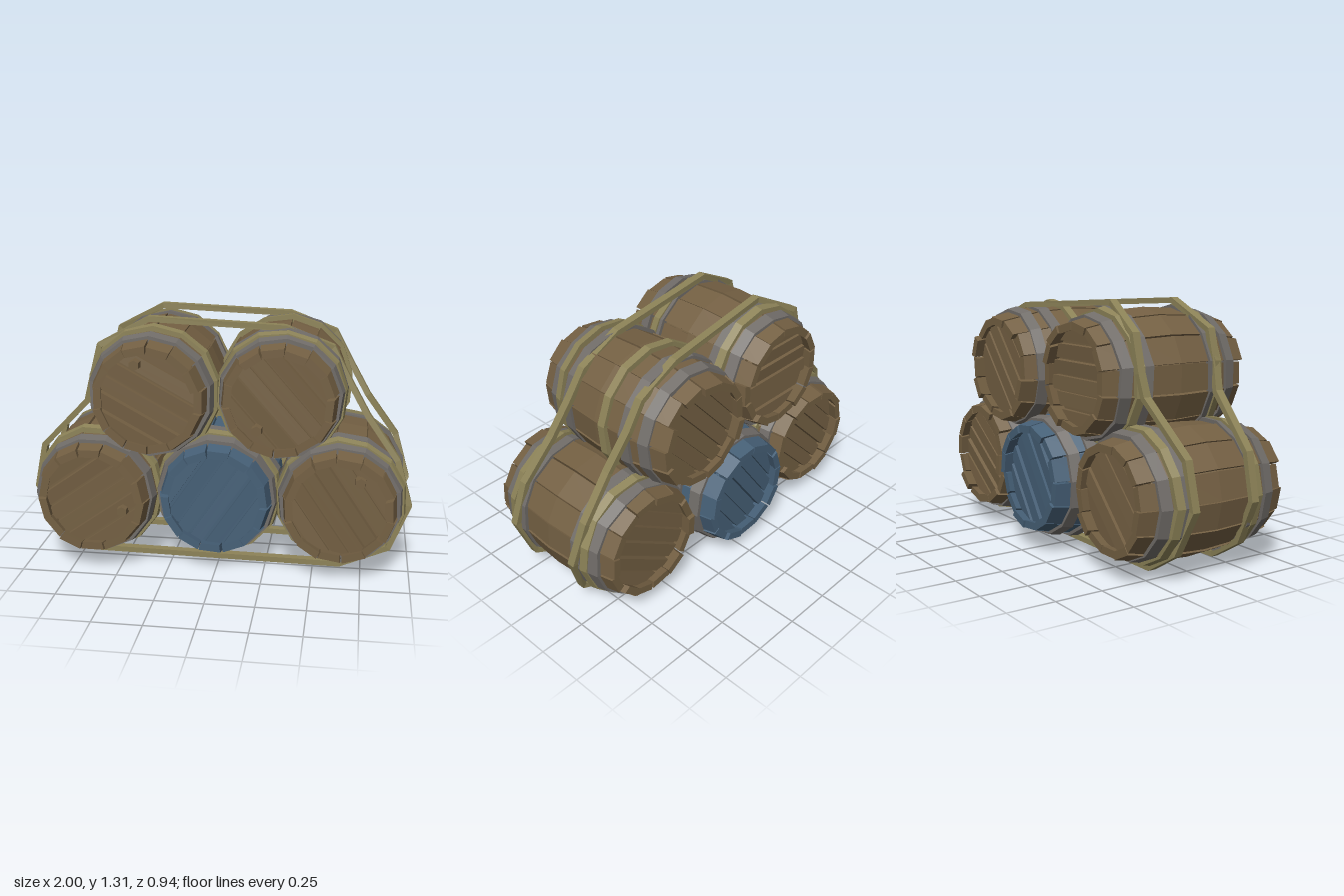
import * as THREE from 'three';
import { mergeGeometries } from 'three/addons/utils/BufferGeometryUtils.js';

const STAVES = 14;
const mat = (name, color) => {
  const m = new THREE.MeshStandardMaterial({ color });
  m.name = name;
  return m;
};

function seeded(seed) {
  let s = seed;
  return () => ((s = (s * 16807) % 2147483647) / 2147483647);
}

function flat(geometry) {
  const g = geometry.toNonIndexed();
  g.computeVertexNormals();
  return g;
}

// Flat-faced skin over equal cross-section loops (counter-clockwise seen against the path)
function loft(sections, closed) {
  const pos = [];
  const tri = (a, b, c) => pos.push(...a, ...b, ...c);
  const n = sections[0].length;
  const count = closed ? sections.length : sections.length - 1;
  for (let k = 0; k < count; k++) {
    const s = sections[k], t = sections[(k + 1) % sections.length];
    for (let i = 0; i < n; i++) {
      const j = (i + 1) % n;
      tri(s[i], s[j], t[j]);
      tri(s[i], t[j], t[i]);
    }
  }
  if (!closed) {
    const first = sections[0], last = sections[sections.length - 1];
    for (let i = 1; i < n - 1; i++) {
      tri(first[0], first[i + 1], first[i]);
      tri(last[0], last[i], last[i + 1]);
    }
  }
  const g = new THREE.BufferGeometry();
  g.setAttribute('position', new THREE.Float32BufferAttribute(pos, 3));
  g.computeVertexNormals();
  return g;
}

// Barrel radius along its axis
function radiusAt(z) {
  const a = Math.abs(z);
  return a < 0.22 ? 0.335 - (a / 0.22) * 0.013 : 0.322 - ((a - 0.22) / 0.21) * 0.045;
}

// Curved plank running the length of the barrel
function stave(a0, a1, rnd) {
  const lift = (rnd() - 0.5) * 0.012;
  const front = 0.425 + (rnd() - 0.5) * 0.03, back = 0.425 + (rnd() - 0.5) * 0.03;
  return loft([-back, -0.22, 0, 0.22, front].map((z) => {
    const r = radiusAt(z) + lift;
    const p = (rad, a) => [rad * Math.cos(a), rad * Math.sin(a), z];
    return [p(r - 0.04, a0), p(r, a0), p(r, a1), p(r - 0.04, a1)];
  }));
}

// Solid filling that follows the staves from inside
function core() {
  const points = [-0.35, -0.22, 0, 0.22, 0.35].map((z) => new THREE.Vector2(radiusAt(z) - 0.022, z));
  points.unshift(new THREE.Vector2(0, -0.35));
  points.push(new THREE.Vector2(0, 0.35));
  return flat(new THREE.LatheGeometry(points, STAVES)).rotateX(Math.PI / 2).rotateZ(Math.PI / 2);
}

// Faceted band around a barrel
function band(z, width, proud, rnd) {
  const sections = [];
  for (let i = 0; i < STAVES; i++) {
    const a = (i / STAVES) * Math.PI * 2;
    const dz = (rnd() - 0.5) * 0.012, dr = (rnd() - 0.5) * 0.006;
    const p = (zz, inset) => {
      const r = radiusAt(zz) + inset;
      return [r * Math.cos(a), r * Math.sin(a), zz + dz];
    };
    const z0 = z - width / 2, z1 = z + width / 2;
    sections.push([p(z0, -0.02), p(z1, -0.02), p(z1, proud + dr), p(z0, proud + dr)]);
  }
  return loft(sections, true);
}

// Round barrel head made of parallel boards
function head(angle, rnd) {
  const R = 0.25, boards = 6, parts = [];
  for (let i = 0; i < boards; i++) {
    const v0 = -R + (2 * R * i) / boards + 0.005 + rnd() * 0.004;
    const v1 = -R + (2 * R * (i + 1)) / boards - 0.005 - rnd() * 0.004;
    const right = [], left = [];
    for (let k = 0; k <= 3; k++) {
      const v = v0 + ((v1 - v0) * k) / 3, x = Math.sqrt(R * R - v * v);
      right.push(new THREE.Vector2(x, v));
      left.unshift(new THREE.Vector2(-x, v));
    }
    const g = new THREE.ExtrudeGeometry(new THREE.Shape([...right, ...left]),
      { depth: 0.035 + rnd() * 0.015, bevelEnabled: false });
    // Tilt each board about its own middle so the edges step
    const mid = (v0 + v1) / 2;
    g.translate(0, -mid, 0).rotateX((rnd() - 0.5) * 0.2).translate(0, mid, 0.335).rotateZ(angle);
    parts.push(g);
  }
  return mergeGeometries(parts);
}

// Strap wound round the whole stack, path counter-clockwise from the front
function strap(path) {
  const n = path.length;
  const edge = (i) => {
    const a = path[(i + n) % n], b = path[(i + 1 + n) % n];
    return new THREE.Vector2(b[1] - a[1], a[0] - b[0]).normalize();
  };
  return loft(path.map(([x, y, z], i) => {
    const m = edge(i - 1).add(edge(i)).normalize();
    const p = (dz, d) => [x - m.x * d, y - m.y * d, z + dz];
    return [p(-0.021, 0.03), p(0.021, 0.03), p(0.021, 0), p(-0.021, 0)];
  }), true);
}

export function createModel() {
  const model = new THREE.Group();
  model.name = 'barrelStack';
  const wood = mat('brown wood', 0x746043);
  const blue = mat('blue wood', 0x466077);
  const iron = mat('grey iron', 0x716d69);
  const rope = mat('olive rope', 0x8d8358);
  const add = (parent, name, geometry, material) => {
    const m = new THREE.Mesh(geometry, material);
    m.name = name;
    parent.add(m);
  };

  // Board angles are for the front and back heads, each seen from its own side
  const barrels = [
    { name: 'lowerRightBarrel', at: [-0.635, 0.39, 0.03], boards: [0.62, -0.8], bung: [0.16, -0.06], ropes: [0.225, -0.25] },
    { name: 'lowerMiddleBarrel', at: [-0.005, 0.385, -0.04], boards: [0.98, -0.95], ropes: [0.27, -0.03], paint: blue },
    { name: 'lowerLeftBarrel', at: [0.635, 0.39, 0.01], boards: [-0.98, -0.6], bung: [0.1, 0.15], ropes: [0.275, -0.265] },
    { name: 'upperRightBarrel', at: [-0.33, 0.93, 0.03], boards: [-0.5, 0], bung: [-0.06, 0.175], ropes: [0.225, -0.25] },
    { name: 'upperLeftBarrel', at: [0.32, 0.925, -0.03], boards: [-0.85, -0.85], bung: [-0.11, -0.15], ropes: [0.275, -0.07] },
  ];

  barrels.forEach((b, index) => {
    const rnd = seeded(911 + index * 577);
    const paint = b.paint || wood;
    const barrel = new THREE.Group();
    barrel.name = b.name;
    barrel.position.set(...b.at);
    model.add(barrel);

    const body = new THREE.Group();
    body.name = 'stavesAndHoops';
    body.rotation.z = index * 0.37;
    barrel.add(body);

    // Staves over a solid core
    const step = (Math.PI * 2) / STAVES, staves = [];
    for (let i = 0; i < STAVES; i++) {
      staves.push(stave(i * step + 0.006 + rnd() * 0.018, (i + 1) * step - 0.006 - rnd() * 0.018, rnd));
    }
    add(body, 'staves', mergeGeometries(staves), paint);
    add(body, 'core', core(), paint);

    // Iron hoops and rope ties
    add(body, 'hoops', mergeGeometries([-0.315, -0.205, 0.205, 0.315].map((z) => band(z, 0.058, 0.015, rnd))), iron);
    add(body, 'ropeTies', mergeGeometries(b.ropes.map((z) => band(z, 0.042, 0.024, rnd))), rope);

    // Heads at both ends
    add(barrel, 'frontHead', head(b.boards[0], rnd), paint);
    add(barrel, 'backHead', head(b.boards[1], rnd).rotateY(Math.PI), paint);

    // Bung in the front head
    if (b.bung) {
      const plug = flat(new THREE.CylinderGeometry(0.027, 0.031, 0.05, 6));
      add(barrel, 'bung', plug.rotateX(Math.PI / 2).translate(b.bung[0], b.bung[1], 0.39), paint);
    }
  });

  // Two long straps binding the stack: x, y, front z, back z
  const route = [
    [0.33, 1.27, 0.15, -0.25], [-0.36, 1.31, 0.21, -0.17], [-0.62, 1.17, 0.24, -0.22],
    [-0.67, 0.98, 0.24, -0.22], [-0.7, 0.87, 0.23, -0.21], [-0.95, 0.61, 0.21, -0.16],
    [-1.0, 0.37, 0.21, -0.15], [-0.89, 0.14, 0.22, -0.17], [-0.69, 0.02, 0.23, -0.17],
    [0.64, 0.0, 0.22, -0.14], [0.9, 0.12, 0.24, -0.14], [1.0, 0.37, 0.24, -0.2],
    [0.93, 0.61, 0.22, -0.23], [0.77, 0.83, 0.18, -0.23], [0.66, 1.02, 0.15, -0.26],
    [0.58, 1.17, 0.13, -0.27],
  ];
  add(model, 'frontStrap', strap(route.map(([x, y, z]) => [x, y, z])), rope);
  add(model, 'backStrap', strap(route.map(([x, y, , z]) => [x, y, z])), rope);
  return model;
}
